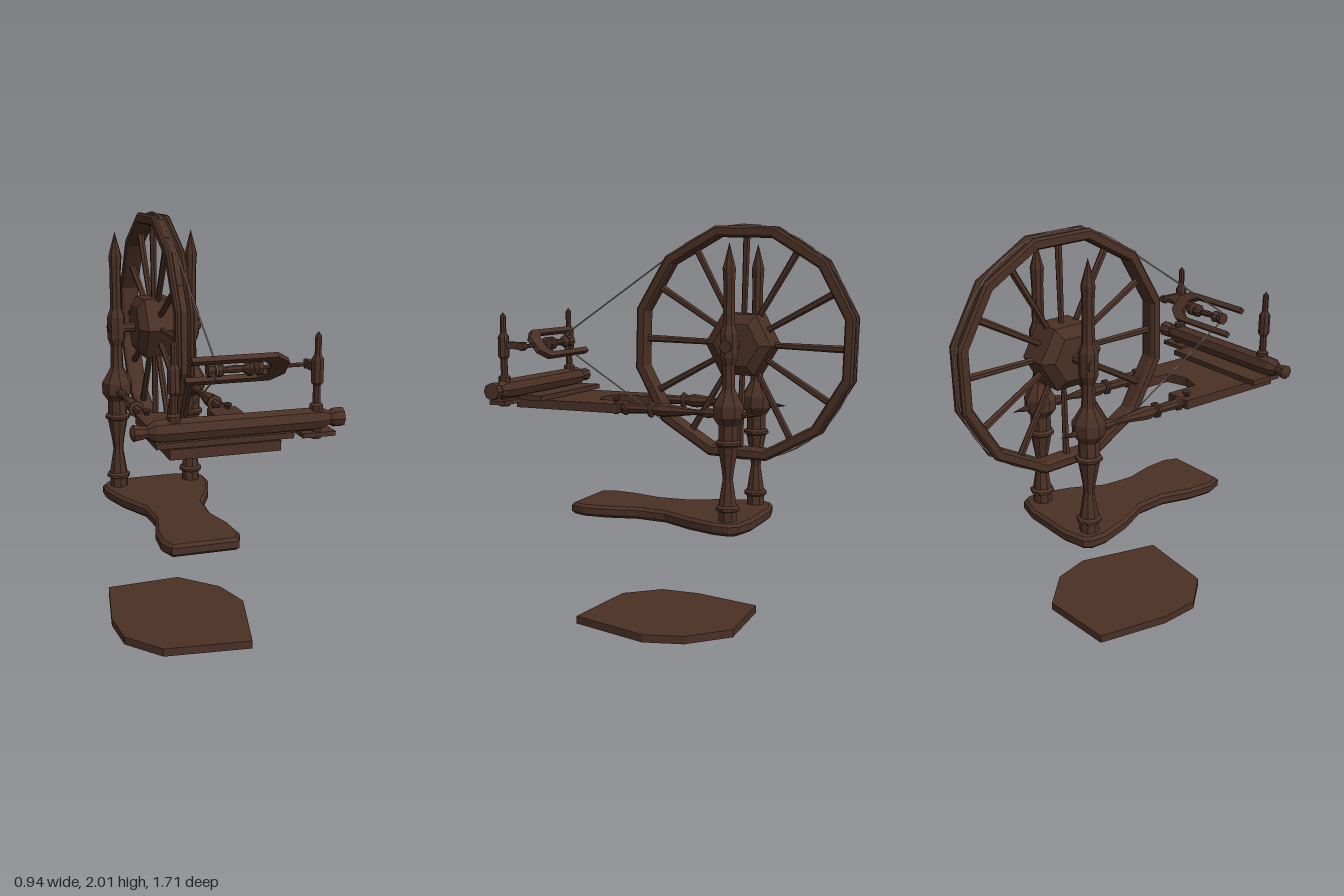
import * as THREE from 'three';
import { toCreasedNormals } from 'three/addons/utils/BufferGeometryUtils.js';

const wood = new THREE.MeshStandardMaterial({ color: 0x4a3025 });
wood.name = 'darkWood';
const cord = new THREE.MeshStandardMaterial({ color: 0x958d86 });
cord.name = 'driveCord';

const WHEEL = { x: -0.072, y: 1.442, z: -0.295 };
const POSTS = { left: 0.12, right: -0.27 };

export function createModel() {
  const model = new THREE.Group();
  model.name = 'spinningWheel';

  function add(name, geo, parent = model, mat = wood) {
    const mesh = new THREE.Mesh(toCreasedNormals(geo, 0.25), mat);
    mesh.name = name;
    parent.add(mesh);
    return mesh;
  }

  // Turned part: profile of [radius, distance] along the chosen axis
  function turned(name, profile, axis, x, y, z, sides = 8, parent = model, start = 0) {
    const geo = new THREE.LatheGeometry(profile.map(([r, d]) => new THREE.Vector2(r, d)), sides, start);
    if (axis === 'x') geo.rotateZ(-Math.PI / 2);
    if (axis === 'z') geo.rotateX(Math.PI / 2);
    const mesh = add(name, geo, parent);
    mesh.position.set(x, y, z);
    return mesh;
  }

  // Flat board from an outline of [x, z]
  function board(name, outline, y, height, bevel = 0) {
    const shape = new THREE.Shape(outline.map(([x, z]) => new THREE.Vector2(x, -z)));
    const geo = new THREE.ExtrudeGeometry(shape, {
      depth: height - 2 * bevel, bevelEnabled: bevel > 0, bevelSegments: 1,
      bevelSize: bevel, bevelThickness: bevel, bevelOffset: -bevel,
    });
    geo.rotateX(-Math.PI / 2);
    return add(name, geo).position.set(0, y + bevel, 0);
  }

  function box(name, w, h, d, x, y, z) {
    add(name, new THREE.BoxGeometry(w, h, d)).position.set(x, y, z);
  }

  // Foot pedal on the ground
  board('pedal', [[-0.34, -0.28], [0.05, -0.3], [0.235, -0.12], [0.295, 0.08], [0.19, 0.505],
    [-0.24, 0.46], [-0.39, 0.29], [-0.405, 0.08]], 0, 0.04);

  // Waisted lower shelf, mirrored about the wheel plane
  const half = [[0.13, -0.4], [0.25, -0.37], [0.277, -0.33], [0.277, -0.25], [0.23, -0.1], [0.15, 0.06],
    [0.14, 0.22], [0.18, 0.37], [0.19, 0.5], [0.16, 0.58]];
  board('lowerShelf', [
    ...half.map(([x, z]) => [WHEEL.x + x, z]),
    ...half.map(([x, z]) => [WHEEL.x - x, z]).reverse(),
  ], 0.55, 0.06, 0.014);

  // Upright posts and the arms that carry the table
  for (const [side, x] of Object.entries(POSTS)) {
    turned(`${side}Post`, [[0, 0.6], [0.046, 0.6], [0.046, 0.655], [0.06, 0.662], [0.06, 0.675], [0.046, 0.685],
      [0.026, 0.81], [0.032, 0.86], [0.052, 0.97], [0.065, 0.978], [0.065, 0.99], [0.05, 1.0], [0.05, 1.07],
      [0.078, 1.11], [0.078, 1.165], [0.045, 1.22], [0.034, 1.24], [0.03, 1.35], [0.045, 1.39],
      [0.045, 1.5], [0.03, 1.54], [0.028, 1.72], [0.033, 1.8], [0, 1.92]], 'y', x, 0, WHEEL.z);
    turned(`${side}Arm`, [[0, -0.455], [0.018, -0.36], [0.02, -0.22], [0.026, -0.19], [0.014, -0.15], [0.014, -0.12],
      [0.034, 0.03], [0.034, 0.055], [0.022, 0.095], [0.04, 0.1], [0.04, 0.112], [0.022, 0.118],
      [0.026, 0.23], [0.036, 0.238], [0.036, 0.25], [0.026, 0.257], [0.026, 0.3], [0, 0.3]], 'z', x, 1.123, 0);
    turned(`${side}ArmPeg`, [[0, 1.09], [0.012, 1.09], [0.012, 1.155], [0.02, 1.162], [0.02, 1.172], [0, 1.175]],
      'y', x, 0, 0.3, 6);
  }

  // Great wheel: grooved rim, hub and spokes
  const wheel = new THREE.Group();
  wheel.name = 'wheel';
  wheel.position.set(WHEEL.x, WHEEL.y, WHEEL.z);
  wheel.rotation.x = -0.026;
  model.add(wheel);
  turned('rim', [[0.532, -0.046], [0.566, -0.046], [0.577, -0.036], [0.577, -0.024], [0.556, -0.014],
    [0.556, 0.014], [0.577, 0.024], [0.577, 0.036], [0.566, 0.046], [0.532, 0.046],
    [0.522, 0.03], [0.522, -0.03], [0.532, -0.046]], 'x', 0, 0, 0, 12, wheel, Math.PI / 12);
  turned('hub', [[0, -0.106], [0.115, -0.106], [0.168, -0.07], [0.168, 0.07], [0.115, 0.106], [0, 0.106]],
    'x', 0, 0, 0, 6, wheel);
  for (let i = 0; i < 12; i++) {
    const geo = new THREE.CylinderGeometry(0.018, 0.014, 0.43, 6, 1, true);
    geo.translate(0, 0.325, 0);
    add('spoke', geo, wheel).rotation.x = (i * Math.PI) / 6;
  }
  turned('axle', [[0, -0.24], [0.03, -0.24], [0.03, -0.16], [0.024, -0.15], [0.024, 0.15],
    [0.03, 0.16], [0.03, 0.24], [0, 0.24]], 'x', WHEEL.x, WHEEL.y, WHEEL.z);

  // Notched table with the cross board on top
  board('table', [[-0.315, 0.265], [-0.18, 0.265], [-0.18, 0.44], [-0.075, 0.475], [0.03, 0.44], [0.03, 0.265],
    [0.17, 0.265], [0.17, 0.845], [-0.315, 0.845]], 1.1, 0.045);
  box('crossBoard', 0.6, 0.025, 0.18, -0.07, 1.16, 0.75);
  box('maidenFoot', 0.15, 0.02, 0.09, 0.345, 1.153, 0.795);
  turned('maidenFootPeg', [[0, 1.13], [0.025, 1.13], [0.025, 1.18], [0, 1.18]], 'y', 0.345, 0, 0.8);

  // Turned crossbar with knobbed ends
  turned('crossbar', [[0, -0.47], [0.022, -0.465], [0.036, -0.455], [0.026, -0.4], [0.036, -0.385], [0.048, -0.365],
    [0.05, -0.3], [0.05, 0.33], [0.046, 0.37], [0.03, 0.405], [0.042, 0.425], [0.042, 0.465], [0, 0.467]],
  'x', 0, 1.213, 0.797);

  // Maidens standing on the crossbar
  for (const [side, x] of [['left', 0.343], ['right', -0.285]]) {
    turned(`${side}Maiden`, [[0.03, 1.25], [0.03, 1.275], [0.018, 1.285], [0.017, 1.36], [0.028, 1.375],
      [0.028, 1.47], [0.015, 1.49], [0.015, 1.57], [0, 1.59]], 'y', x, 0, 0.8);
  }
  box('flyerBearing', 0.02, 0.035, 0.13, 0.343, 1.43, 0.74);

  // Tilted flyer fork with bobbin and shaft
  const flyer = new THREE.Group();
  flyer.name = 'flyer';
  flyer.position.set(0, 1.426, 0.687);
  flyer.rotation.x = 0.72;
  model.add(flyer);
  const fork = new THREE.Shape([[-0.19, -0.084], [0.19, -0.084], [0.25, -0.04], [0.25, 0.04], [0.19, 0.084],
    [-0.19, 0.084], [-0.19, 0.058], [0.13, 0.058], [0.17, 0.03], [0.17, -0.03], [0.13, -0.058], [-0.19, -0.058],
  ].map(([x, y]) => new THREE.Vector2(x, y)));
  const forkGeo = new THREE.ExtrudeGeometry(fork, { depth: 0.026, bevelEnabled: false });
  forkGeo.translate(0, 0, -0.013);
  add('fork', forkGeo, flyer);
  turned('bobbin', [[0, -0.11], [0.03, -0.108], [0.03, -0.09], [0.02, -0.075], [0.03, -0.06], [0.03, -0.045],
    [0.014, -0.03], [0.018, 0.02], [0.014, 0.05], [0.034, 0.075], [0.034, 0.09], [0.018, 0.1],
    [0.034, 0.115], [0.034, 0.135], [0, 0.137]], 'x', 0, 0, 0, 8, flyer);
  turned('shaft', [[0, 0.13], [0.01, 0.13], [0.01, 0.33], [0.02, 0.335], [0.02, 0.37], [0, 0.37]],
    'x', 0, 0, 0, 6, flyer);

  // Drive cord: around the wheel, then out to the bobbin pulley
  const path = new THREE.CurvePath();
  const points = [];
  const arc = (z, y, r, from, to, n) => {
    for (let i = 0; i <= n; i++) {
      const t = THREE.MathUtils.degToRad(from + ((to - from) * i) / n);
      points.push(new THREE.Vector3(WHEEL.x, y + r * Math.sin(t), z + r * Math.cos(t)));
    }
  };
  arc(WHEEL.z, WHEEL.y, 0.565, 58, 302, 32);
  arc(0.69, 1.427, 0.03, -58, 58, 4);
  points.forEach((p, i) => path.add(new THREE.LineCurve3(p, points[(i + 1) % points.length])));
  add('driveCord', new THREE.TubeGeometry(path, 220, 0.004, 5, true), model, cord);

  return model;
}
